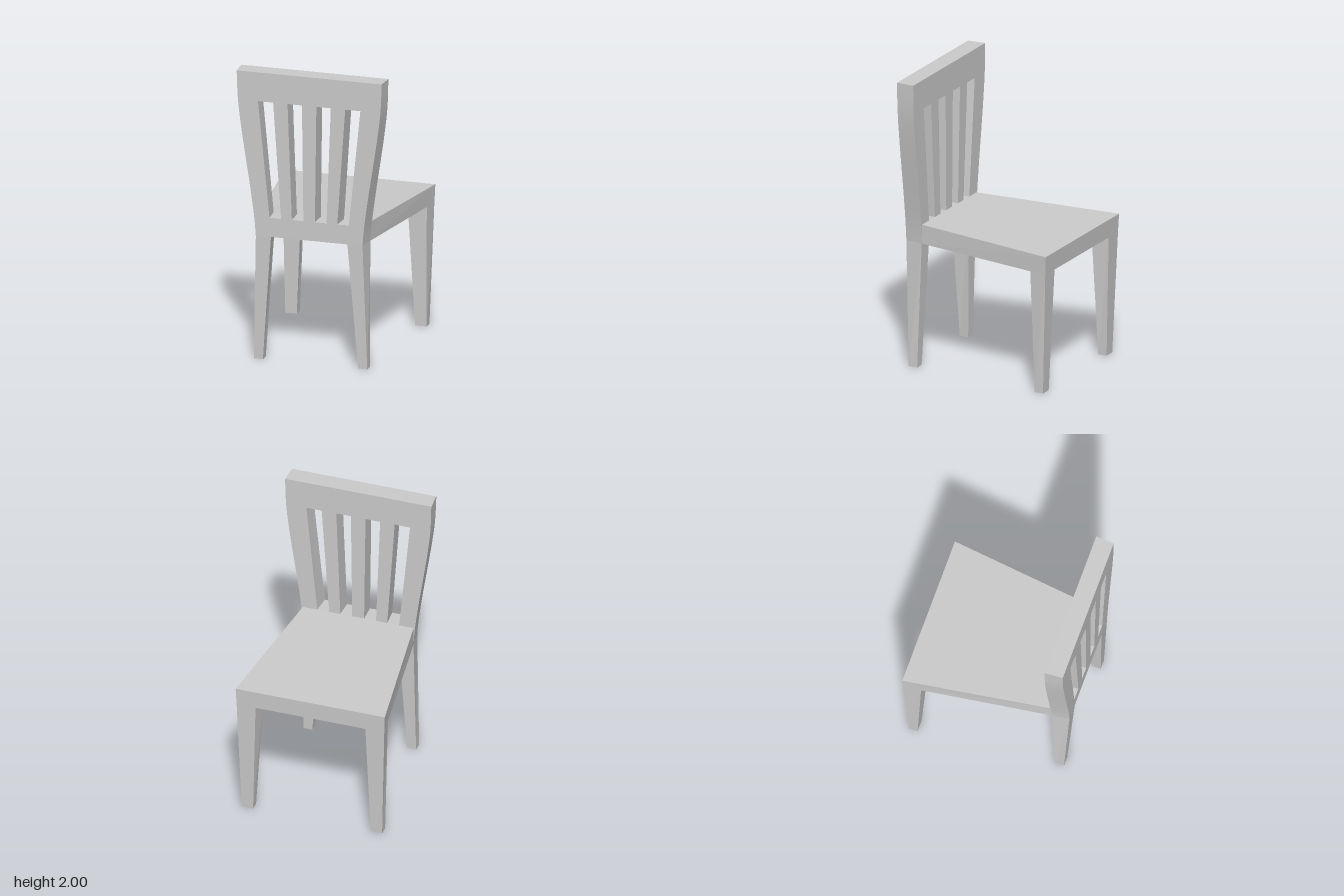
import * as THREE from 'three';
import { toCreasedNormals } from 'three/addons/utils/BufferGeometryUtils.js';

const material = new THREE.MeshStandardMaterial({ color: 0xcccccc });

function addMesh(group, name, geometry) {
  const mesh = new THREE.Mesh(geometry, material);
  mesh.name = name;
  group.add(mesh);
}

// Six-sided block; each corner is given as [x, y, z] by a rule on (right, top, front) flags
function block(corner) {
  const geometry = new THREE.BoxGeometry(1, 1, 1).toNonIndexed();
  const p = geometry.attributes.position;
  for (let i = 0; i < p.count; i++) {
    p.setXYZ(i, ...corner(p.getX(i) > 0, p.getY(i) > 0, p.getZ(i) > 0));
  }
  geometry.computeVertexNormals();
  return geometry;
}

// Tapered leg: x = [inner, outer] and z = [min, max] at foot and top, flare widens the top toward -z
function leg(side, foot, top, flare) {
  return block((right, up, front) => {
    const s = up ? top : foot;
    const z = s.z[front ? 1 : 0];
    const outer = right === side > 0;
    const x = s.x[outer ? 1 : 0] + (up && !front ? flare : 0);
    return [side * x, up ? s.y : 0, z];
  });
}

// Backrest panel with curved sides and four fanned slots, narrowing slightly toward +z
function backrest() {
  const profile = [[0.37, 0.865], [0.382, 1], [0.409, 1.2], [0.44, 1.4], [0.47, 1.6], [0.494, 1.8], [0.503, 2]];
  const curve = new THREE.SplineCurve(profile.map(([x, y]) => new THREE.Vector2(x, y)));
  const rightSide = curve.getPoints(24);
  const leftSide = rightSide.map((v) => new THREE.Vector2(-v.x, v.y)).reverse();
  const shape = new THREE.Shape([...rightSide, ...leftSide]);
  const slots = [[0.04, 0.12, 0.05, 0.15], [0.195, 0.275, 0.25, 0.355]];
  for (const [b0, b1, t0, t1] of slots) {
    for (const s of [-1, 1]) {
      shape.holes.push(new THREE.Path([[b0, 0.997], [b1, 0.997], [t1, 1.8], [t0, 1.8]]
        .map(([x, y]) => new THREE.Vector2(s * x, y))));
    }
  }
  const geometry = new THREE.ExtrudeGeometry(shape, { depth: 0.125, bevelEnabled: false });
  geometry.translate(0, 0, 0.435);
  const p = geometry.attributes.position;
  for (let i = 0; i < p.count; i++) {
    const t = THREE.MathUtils.clamp((p.getY(i) - 0.865) / 1.135, 0, 1);
    const taper = THREE.MathUtils.lerp(0.33, 0.11, t);
    p.setX(i, p.getX(i) * (1 + (0.56 - p.getZ(i)) * taper));
  }
  return toCreasedNormals(geometry, 0.5);
}

export function createModel() {
  const chair = new THREE.Group();
  chair.name = 'chair';

  addMesh(chair, 'backrest', backrest());

  // Trapezoid seat slab, wide and lower at -z
  addMesh(chair, 'seat', block((right, up, front) => {
    const x = front ? 0.386 : up ? 0.52 : 0.515;
    const y = front ? (up ? 0.997 : 0.865) : (up ? 0.962 : 0.836);
    const z = front ? 0.436 : up ? -0.56 : -0.555;
    return [right ? x : -x, y, z];
  }));

  for (const side of [-1, 1]) {
    const label = side > 0 ? 'left' : 'right';
    addMesh(chair, label + 'BackrestLeg', leg(side,
      { x: [0.33, 0.393], z: [0.467, 0.53] },
      { x: [0.265, 0.37], z: [0.437, 0.56], y: 0.866 }, 0.015));
    addMesh(chair, label + 'SeatLeg', leg(side,
      { x: [0.41, 0.49], z: [-0.525, -0.463] },
      { x: [0.368, 0.5], z: [-0.555, -0.435], y: 0.84 }, 0.015));
  }
  return chair;
}
